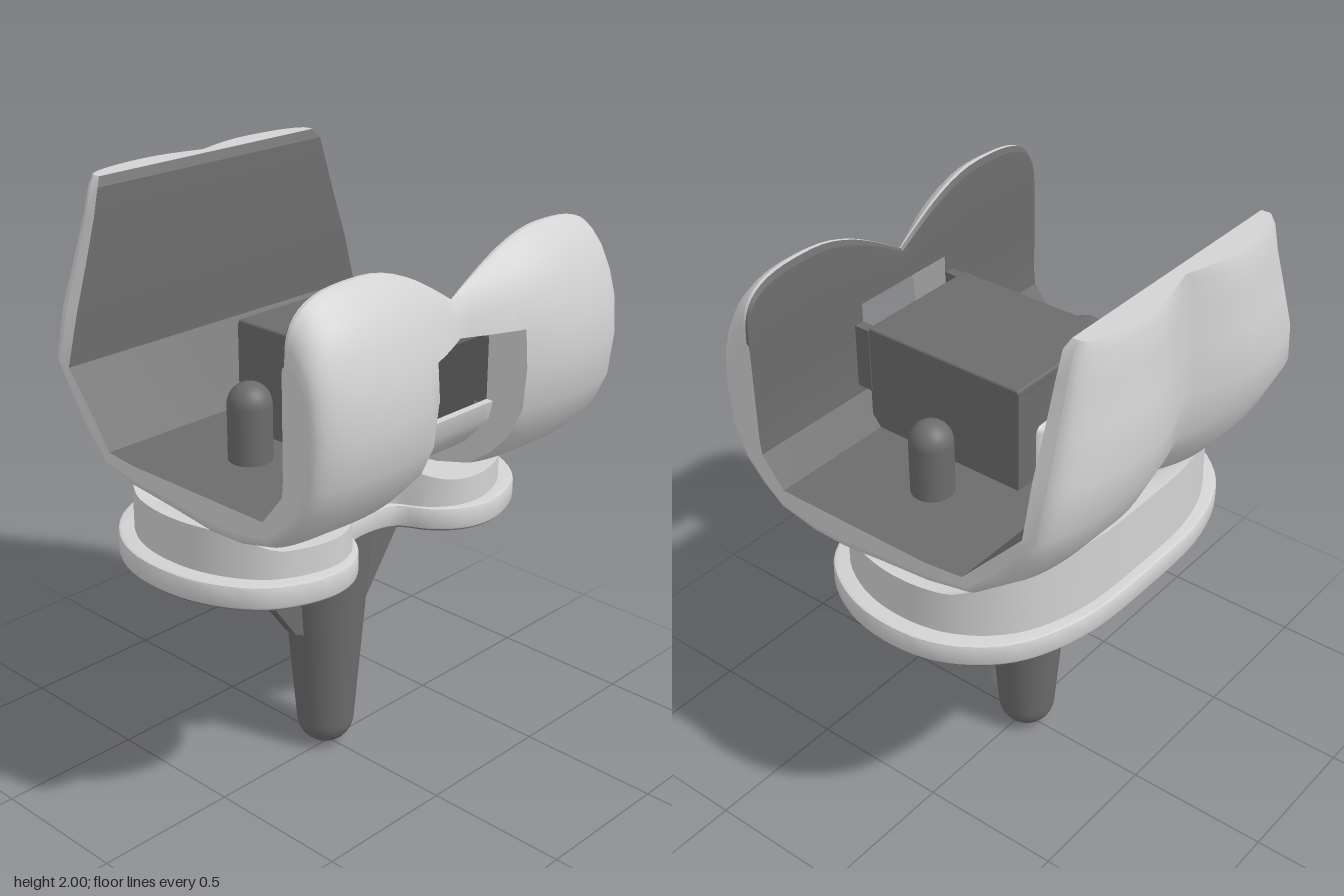
import * as THREE from 'three';
import { toCreasedNormals } from 'three/addons/utils/BufferGeometryUtils.js';
import { RoundedBoxGeometry } from 'three/addons/geometries/RoundedBoxGeometry.js';

const light = new THREE.MeshStandardMaterial({ color: 0xd2d2d2, side: THREE.DoubleSide });
light.name = 'light grey';
const dark = new THREE.MeshStandardMaterial({ color: 0x6c6c6c, side: THREE.DoubleSide });
dark.name = 'dark grey';

const clamp = THREE.MathUtils.clamp, smooth = THREE.MathUtils.smoothstep;

function add(parent, name, geometry, material, x = 0, y = 0, z = 0) {
  const mesh = new THREE.Mesh(geometry, material);
  mesh.name = name;
  mesh.position.set(x, y, z);
  parent.add(mesh);
  return mesh;
}

function fromArrays(points, index, crease) {
  const g = new THREE.BufferGeometry();
  g.setAttribute('position', new THREE.Float32BufferAttribute(points.flat(), 3));
  g.setIndex(index);
  return toCreasedNormals(g, crease);
}

// Kidney outline [x, z], notched at the front
const CZ = -0.0625;
function kidney(scale) {
  const half = [[0, 0.16], [0.12, 0.19], [0.19, 0.3], [0.28, 0.37], [0.4, 0.385], [0.58, 0.31], [0.69, 0.14],
    [0.72, -0.06], [0.68, -0.24], [0.55, -0.4], [0.33, -0.49], [0, -0.51]];
  const all = [...half, ...half.slice(1, -1).reverse().map(([x, z]) => [-x, z])];
  const curve = new THREE.CatmullRomCurve3(all.map(([x, z]) => new THREE.Vector3(x, 0, z)), true);
  return curve.getPoints(110).slice(0, -1).map(p => [p.x * scale, CZ + (p.z - CZ) * scale]);
}

function plate(scale, y0, y1, bevel) {
  const shape = new THREE.Shape(kidney(scale).map(([x, z]) => new THREE.Vector2(x, -z)));
  const g = new THREE.ExtrudeGeometry(shape, { depth: y1 - y0 - 2 * bevel, bevelEnabled: bevel > 0,
    bevelThickness: bevel, bevelSize: bevel, bevelSegments: 2 });
  g.rotateX(-Math.PI / 2);
  g.translate(0, y0 + bevel, 0);
  return toCreasedNormals(g, 0.7);
}

// Insert: straight wall and a dished top made of concentric kidney rings
function insertGeometry() {
  const top = (x, z) => 1.02 + 0.15 * smooth(-z, 0.2, 0.44) + 0.06 * smooth(Math.abs(x), 0.5, 0.65)
    + 0.13 * Math.exp(-((x / 0.13) ** 2)) * (1 - smooth(-z, 0.2, 0.44));
  const outline = kidney(0.922), n = outline.length, points = [], index = [];
  const ring = (s, y) => outline.forEach(([x, z]) => {
    const px = x * s, pz = CZ + (z - CZ) * s;
    points.push([px, y ?? top(px, pz), pz]);
  });
  ring(1, 0.92);
  for (let k = 0; k <= 10; k++) ring(1 - k / 10.01);
  for (let r = 0; r < 11; r++) for (let i = 0; i < n; i++) {
    const a = r * n + i, b = r * n + (i + 1) % n;
    index.push(a, b, b + n, a, b + n, a + n);
  }
  return fromArrays(points, index, 0.8);
}

// Cup sections from front rim to back rim: inner z, y, outer z, y, half width
const SECTIONS = [
  [0.495, 1.89, 0.508, 1.89, 0.68], [0.487, 1.87, 0.54, 1.87, 0.68], [0.485, 1.82, 0.585, 1.82, 0.68],
  [0.485, 1.73, 0.63, 1.73, 0.68], [0.485, 1.62, 0.662, 1.62, 0.68], [0.485, 1.5, 0.675, 1.5, 0.68],
  [0.485, 1.36, 0.655, 1.36, 0.68], [0.48, 1.31, 0.6, 1.25, 0.68], [0.44, 1.26, 0.52, 1.165, 0.68],
  [0.4, 1.21, 0.42, 1.1, 0.68], [0.28, 1.21, 0.29, 1.06, 0.68], [0.15, 1.21, 0.17, 1.047, 0.68],
  [0, 1.21, 0, 1.068, 0.68], [-0.17, 1.21, -0.18, 1.088, 0.68], [-0.3, 1.21, -0.34, 1.115, 0.665],
  [-0.37, 1.285, -0.49, 1.21, 0.655], [-0.44, 1.36, -0.59, 1.34, 0.65], [-0.505, 1.43, -0.65, 1.47, 0.645],
  [-0.505, 1.6, -0.675, 1.6, 0.6], [-0.508, 1.75, -0.658, 1.75, 0.55], [-0.51, 1.88, -0.638, 1.88, 0.51],
  [-0.515, 1.97, -0.63, 1.97, 0.485], [-0.53, 2, -0.615, 2, 0.465]];
const GAP = 0.294;   // column where the slot between the lobes ends

function cup(group) {
  const half = [0, 0.05, 0.1, 0.15, 0.2, 0.25, GAP, 0.302];
  for (let k = 1; k <= 16; k++) half.push(0.302 + 0.698 * Math.sin(k / 16 * Math.PI / 2));
  const cols = [...half.slice(1).reverse().map(u => -u), ...half];
  const rows = SECTIONS.length, n = cols.length, inner = [], outer = [];
  const lobe = (a, p, mid, edge, pow) => a < p
    ? mid + (1 - mid) * Math.sin(a / p * Math.PI / 2)
    : edge + (1 - edge) * Math.pow(Math.max(0, 1 - ((a - p) / (1 - p)) ** pow), 1 / pow);

  SECTIONS.forEach(([iz, iy, oz, oy, w], i) => cols.forEach(u => {
    const a = Math.abs(u), back = clamp((i - 10) / 6, 0, 1);
    let f = lobe(a, 0.59 - 0.11 * back, 0.3 + 0.2 * back, 0.5 - 0.2 * back, 2.4 - 0.4 * back);
    if (i >= 6 && i <= 13 && a <= GAP + 1e-6) f = 0.15;
    // the front rim rises in two rounded lobes
    const rim = a < 0.59 ? 1.73 + 0.16 * Math.sin(a / 0.59 * Math.PI / 2) : lobe(a, 0.59, 0, 0, 3) * 0.19 + 1.7;
    const fit = y => i < 4 ? 1.62 + (y - 1.62) * (rim - 1.62) / 0.27 : y;
    inner.push([u * w, fit(iy), iz]);
    outer.push([u * w, fit(iy + (oy - iy) * f), iz + (oz - iz) * f]);
  }));

  // openings: front window, and the floor beneath the housing
  const solid = (i, j) => {
    if (i < 0 || j < 0 || i >= rows - 1 || j >= n - 1) return false;
    const middle = Math.abs(cols[j] + cols[j + 1]) / 2 < GAP;
    return !(middle && (i === 4 || i === 5 || (i >= 10 && i <= 12)));
  };
  const outIdx = [], inIdx = [], wallPts = [], wallIdx = [];
  const wall = (p, q) => {
    const k = wallPts.length;
    wallPts.push(outer[p], outer[q], inner[q], inner[p]);
    wallIdx.push(k, k + 2, k + 1, k, k + 3, k + 2);
  };
  for (let i = 0; i < rows - 1; i++) for (let j = 0; j < n - 1; j++) {
    if (!solid(i, j)) continue;
    const a = i * n + j, b = a + n, c = b + 1, d = a + 1;
    outIdx.push(a, b, c, a, c, d);
    inIdx.push(a, c, b, a, d, c);
    if (!solid(i, j - 1)) wall(a, b);
    if (!solid(i + 1, j)) wall(b, c);
    if (!solid(i, j + 1)) wall(c, d);
    if (!solid(i - 1, j)) wall(d, a);
  }
  add(group, 'cupOuterSurface', fromArrays(outer, outIdx, 0.9), light);
  add(group, 'cupInnerSurface', fromArrays(inner, inIdx, 0.3), dark);
  add(group, 'cupRims', fromArrays(wallPts, wallIdx, 0.6), light);
}

export function createModel() {
  const model = new THREE.Group();
  model.name = 'jointImplant';

  // Upper cup with housing and pegs
  const upper = new THREE.Group();
  upper.name = 'upperComponent';
  model.add(upper);
  cup(upper);
  add(upper, 'housingTop', new RoundedBoxGeometry(0.47, 0.03, 0.6, 2, 0.008), dark, 0, 1.555, 0.132);
  add(upper, 'housingBack', new THREE.BoxGeometry(0.46, 0.35, 0.02), dark, 0, 1.38, -0.156);
  for (const s of [-1, 1]) {
    add(upper, 'housingSide', new THREE.BoxGeometry(0.03, 0.36, 0.6), dark, s * 0.22, 1.38, 0.132);
    add(upper, 'housingBracket', new THREE.BoxGeometry(0.035, 0.22, 0.06), dark, s * 0.22, 1.45, 0.458);
    add(upper, 'peg', new THREE.CapsuleGeometry(0.07, 0.18, 8, 24), dark, s * 0.39, 1.3, 0.045);
  }

  // Middle insert with its post
  add(model, 'insert', insertGeometry(), light);
  add(model, 'insertPost', new RoundedBoxGeometry(0.3, 0.42, 0.2, 3, 0.03), light, 0, 1.19, -0.08);

  // Base tray
  add(model, 'tray', plate(0.986, 0.853, 0.93, 0.01), light);
  add(model, 'trayUnderside', plate(0.985, 0.848, 0.854, 0), dark);

  // Tapered stem with a domed tip
  const profile = [];
  for (let k = 0; k <= 8; k++) {
    const t = k / 8 * Math.PI / 2;
    profile.push(new THREE.Vector2(0.1 * Math.sin(t), 0.1 - 0.1 * Math.cos(t)));
  }
  profile.push(new THREE.Vector2(0.131, 0.47), new THREE.Vector2(0.163, 0.86));
  add(model, 'stem', toCreasedNormals(new THREE.LatheGeometry(profile, 48), 0.5), dark, 0, 0, -0.018);

  // Keel fins on both sides of the stem
  const fin = new THREE.Shape([[-0.43, 0.855], [-0.165, 0.485], [-0.12, 0.465], [0.12, 0.465], [0.165, 0.485], [0.43, 0.855]]
    .map(([x, y]) => new THREE.Vector2(x, y)));
  add(model, 'keelFins', new THREE.ExtrudeGeometry(fin, { depth: 0.05, bevelEnabled: false }), dark, 0, 0, -0.043);

  return model;
}
